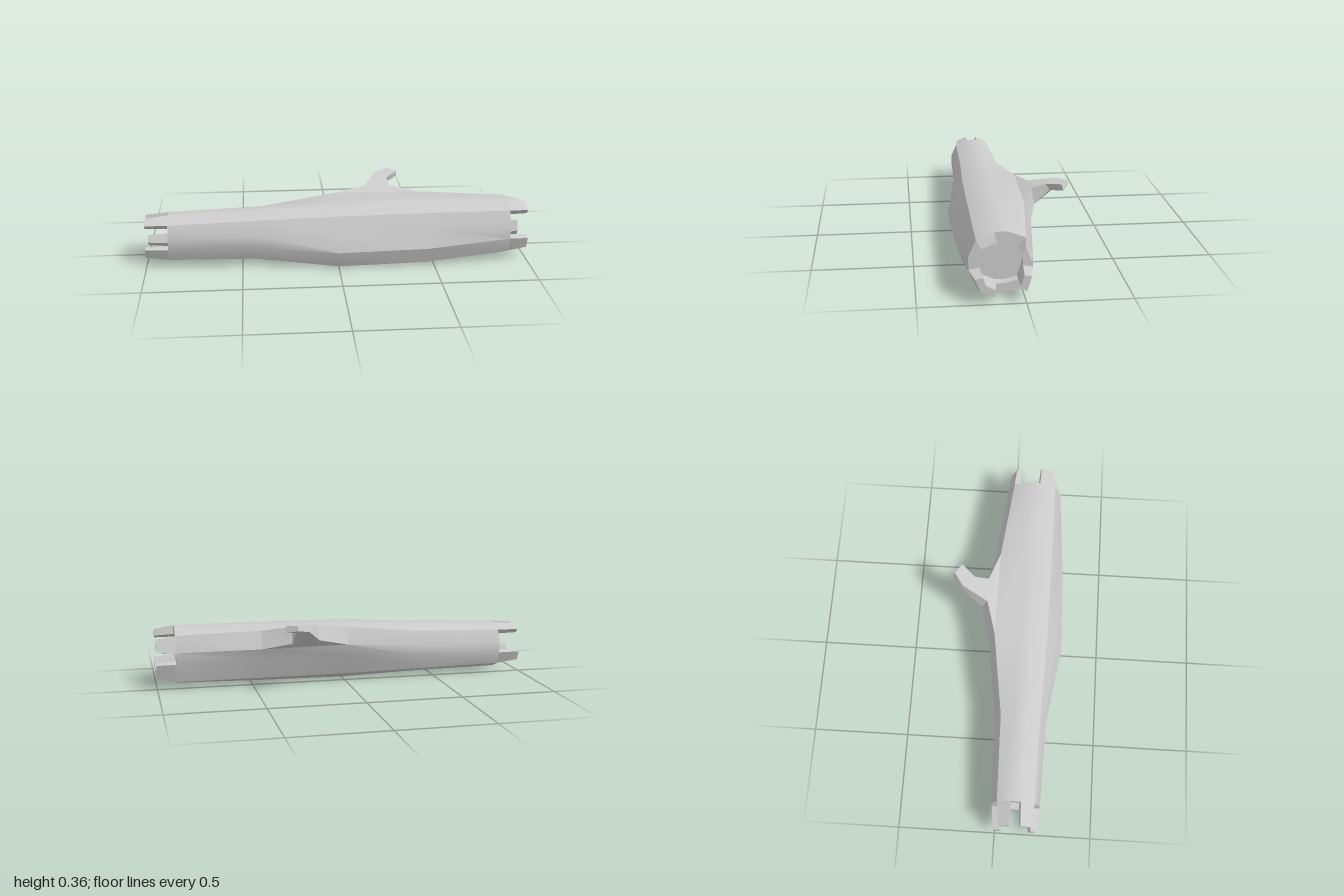
import * as THREE from 'three';
import { toCreasedNormals } from 'three/addons/utils/BufferGeometryUtils.js';

const material = new THREE.MeshStandardMaterial({ color: 0xcccccc });

// Skin a list of rings (arrays of Vector3) and cap both ends
function loft(name, rings) {
  const pos = [];
  const tri = (...pts) => pts.forEach(p => pos.push(p.x, p.y, p.z));
  const n = rings[0].length;
  for (let i = 0; i + 1 < rings.length; i++) {
    for (let j = 0; j < n; j++) {
      const k = (j + 1) % n, r = rings[i], s = rings[i + 1];
      tri(r[j], r[k], s[k]);
      tri(r[j], s[k], s[j]);
    }
  }
  const first = rings[0], last = rings[rings.length - 1];
  for (let j = 2; j < n; j++) {
    const a = j, b = (j + 1) % n;
    tri(last[1], last[a], last[b]);
    tri(first[1], first[b], first[a]);
  }
  const geo = new THREE.BufferGeometry();
  geo.setAttribute('position', new THREE.Float32BufferAttribute(pos, 3));
  const mesh = new THREE.Mesh(toCreasedNormals(geo, 0.6), material);
  mesh.name = name;
  return mesh;
}

// Body cross-sections: [x, outline of z, y pairs], from the top round the front
const sections = [
  [-0.88, [[.13, .27], [.2, .24], [.228, .175], [.228, .115], [.2, .05], [.13, .022],
    [.075, .022], [.008, .05], [-.02, .115], [-.02, .175], [.008, .24], [.075, .27]]],
  [-0.43, [[.135, .285], [.205, .255], [.237, .18], [.237, .12], [.205, .045], [.135, .018],
    [.07, .018], [0, .045], [-.03, .12], [-.03, .18], [0, .255], [.07, .285]]],
  [0, [[.14, .31], [.22, .272], [.262, .19], [.302, .1], [.265, .012], [.14, .003],
    [.075, .003], [-.008, .04], [-.06, .15], [-.09, .215], [-.06, .305], [.075, .31]]],
  [0.46, [[.14, .315], [.222, .278], [.26, .195], [.29, .105], [.26, .02], [.14, .008],
    [.075, .008], [-.01, .04], [-.06, .15], [-.088, .21], [-.055, .303], [.075, .315]]],
  [0.9, [[.137, .316], [.222, .28], [.257, .2], [.257, .135], [.222, .055], [.14, .017],
    [.075, .017], [-.008, .04], [-.04, .14], [-.04, .2], [-.005, .285], [.075, .316]]],
];

const centroid = pts => pts.reduce((s, p) => s.add(p), new THREE.Vector3()).divideScalar(pts.length);
const inset = (ring, t) => {
  const c = centroid(ring);
  return ring.map(p => p.clone().lerp(c, t));
};
const shiftX = (ring, dx) => ring.map(p => p.clone().setX(p.x + dx));

// Splinter standing on the rim between outline points i and k
function splinter(outer, inner, i, k, tipX) {
  const base = [...outer.slice(i, k + 1), ...inner.slice(i, k + 1).reverse()];
  const dx = tipX - base[0].x;
  const middle = centroid(outer);
  const tip = inset(base, 0.2).map(p => {
    const q = p.clone().lerp(middle, 0.06);
    return q.setX(tipX);
  });
  const root = shiftX(base, -Math.sign(dx) * 0.01);
  return loft('splinter', dx > 0 ? [root, base, tip] : [tip, base, root]);
}

export function createModel() {
  const group = new THREE.Group();
  group.name = 'brokenLog';

  // Trunk with a shallow hollow at each end
  const rings = sections.map(([x, pts]) => pts.map(([z, y]) => new THREE.Vector3(x, y, z)));
  const outerA = rings[0], outerB = rings[rings.length - 1];
  const innerA = inset(outerA, 0.3), innerB = inset(outerB, 0.31);
  group.add(loft('trunk', [
    shiftX(innerA, 0.05), innerA, ...rings, innerB, shiftX(innerB, -0.05),
  ]));

  // Splinters round both broken ends
  const splinters = new THREE.Group();
  splinters.name = 'splinters';
  for (const [i, k] of [[0, 1], [3, 5], [7, 8], [9, 10]]) {
    splinters.add(splinter(outerB, innerB, i, k, 1));
  }
  for (const [i, k] of [[0, 1], [3, 4], [7, 8], [10, 11]]) {
    splinters.add(splinter(outerA, innerA, i, k, -1));
  }
  group.add(splinters);

  // Bent twig flaring out of the back of the trunk
  const twig = [
    [[.46, .303, -.055], [.46, .21, -.088], [0, .215, -.09], [0, .305, -.06]],
    [[.3, .327, -.11], [.305, .24, -.125], [.165, .255, -.14], [.17, .327, -.108]],
    [[.3, .345, -.185], [.3, .312, -.205], [.24, .325, -.262], [.24, .358, -.245]],
    [[.362, .36, -.255], [.365, .327, -.265], [.305, .34, -.3], [.308, .366, -.292]],
  ];
  group.add(loft('twig', twig.map(r => r.map(p => new THREE.Vector3(...p)))));

  return group;
}
